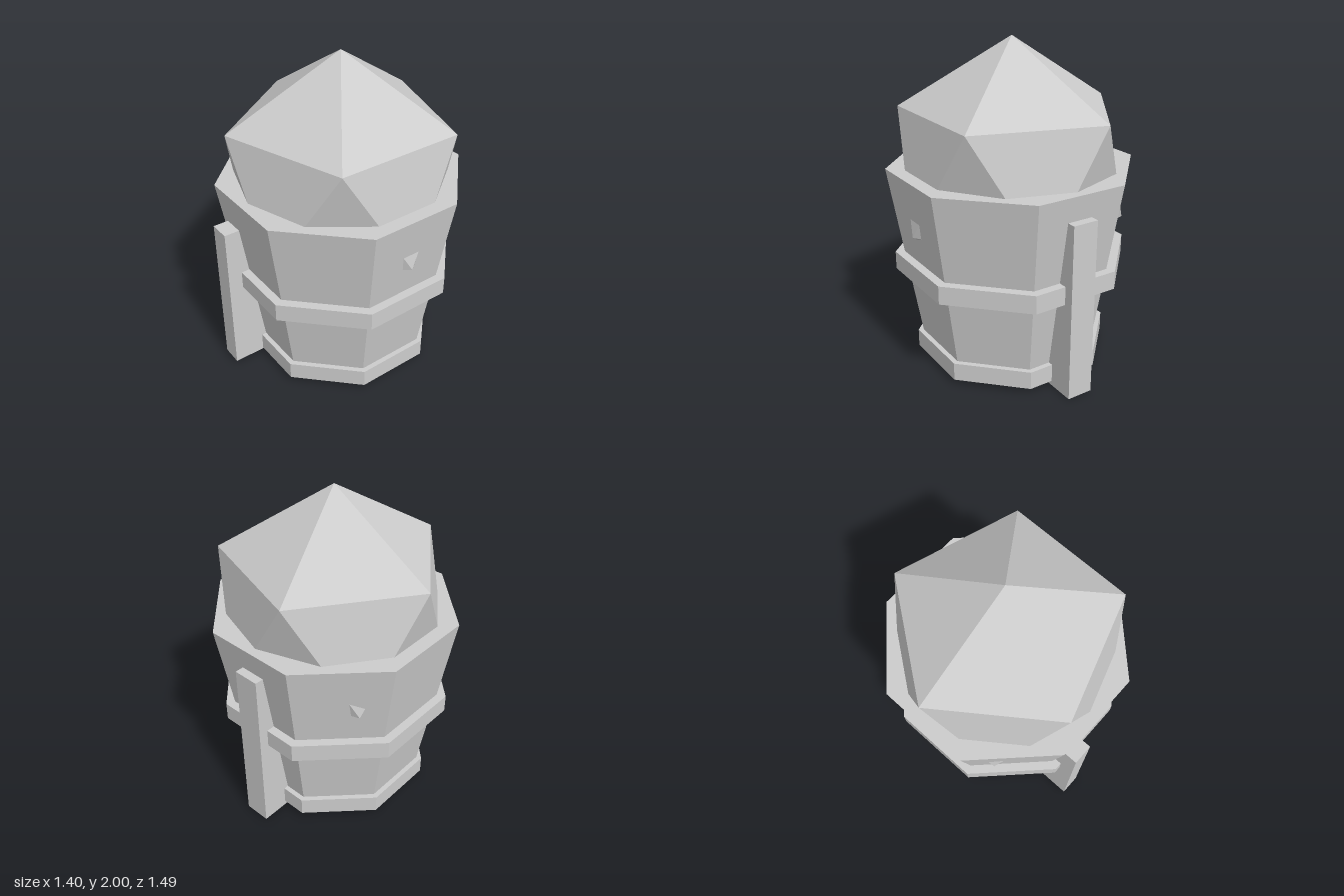
import * as THREE from 'three';

const CENTRE_Z = -0.015;

export function createModel() {
  const model = new THREE.Group();
  const grey = new THREE.MeshStandardMaterial({ color: 0xcccccc, flatShading: true });
  grey.name = 'plain grey';

  function add(name, geometry, x, y, z) {
    const mesh = new THREE.Mesh(geometry, grey);
    mesh.name = name;
    mesh.position.set(x, y, z);
    model.add(mesh);
  }

  // Eight-sided prism with flats facing the axes; sizes are half-widths across flats
  function octagon(name, top, bottom, y0, y1) {
    const k = 1 / Math.cos(Math.PI / 8);
    const g = new THREE.CylinderGeometry(top * k, bottom * k, y1 - y0, 8, 1, false, Math.PI / 8);
    add(name, g, 0, (y0 + y1) / 2, CENTRE_Z);
  }

  function post(name, x0, x1, y0, y1, z0, z1) {
    add(name, new THREE.BoxGeometry(x1 - x0, y1 - y0, z1 - z0),
      (x0 + x1) / 2, (y0 + y1) / 2, (z0 + z1) / 2);
  }

  // Tapered tub and its two hoops
  octagon('tub', 0.70, 0.515, 0.035, 1.242);
  octagon('middleHoop', 0.67, 0.67, 0.592, 0.705);
  octagon('bottomHoop', 0.562, 0.562, 0.03, 0.142);

  // Faceted filling: stands on one corner, its lower corners just pierce the tub
  const filling = new THREE.IcosahedronGeometry(0.76, 0);
  filling.rotateZ(-Math.atan(2 / (1 + Math.sqrt(5))));
  filling.rotateY(Math.PI);
  add('filling', filling, 0, 1.24, CENTRE_Z);

  // Upright posts at front and back
  post('frontPost', -0.23, -0.10, 0.022, 1.01, 0.482, 0.745);
  post('backPost', -0.081, 0.081, 0, 1.09, -0.745, -0.48);

  return model;
}
